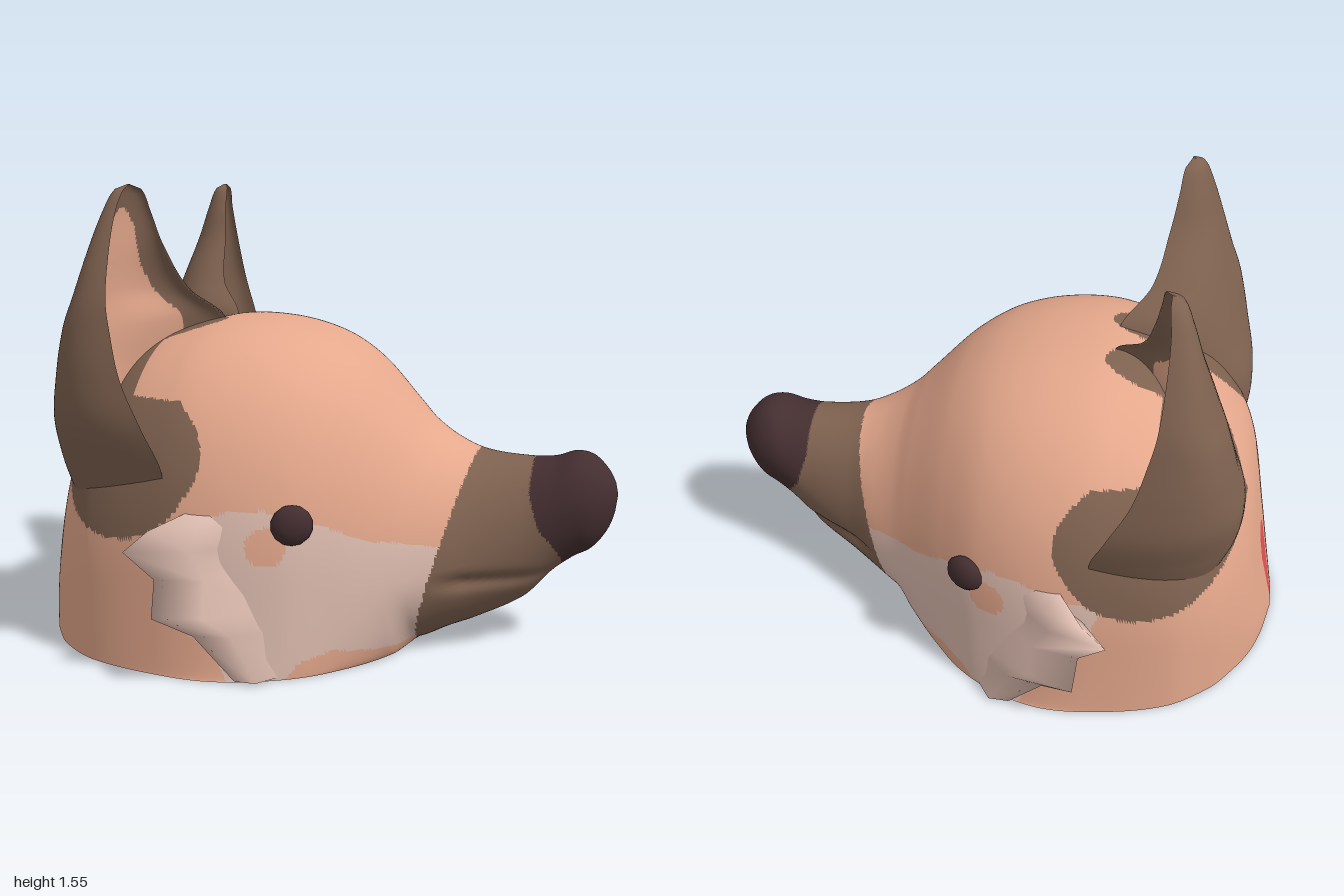
import * as THREE from 'three';

const mat = (name, color, side = THREE.FrontSide) => {
  const m = new THREE.MeshStandardMaterial({ color, side });
  m.name = name;
  return m;
};

// Smooth interpolation of a station table whose first column is the key
function sample(rows, k) {
  let i = 0;
  while (i < rows.length - 2 && k > rows[i + 1][0]) i++;
  const a = rows[i], b = rows[i + 1], h = b[0] - a[0];
  const p = rows[i - 1] || a, n = rows[i + 2] || b;
  const t = Math.min(1, Math.max(0, (k - a[0]) / h)), t2 = t * t, t3 = t2 * t;
  return a.map((_, c) => {
    const ma = (b[c] - p[c]) / (b[0] - p[0]) * h, mb = (n[c] - a[c]) / (n[0] - a[0]) * h;
    return (2 * t3 - 3 * t2 + 1) * a[c] + (t3 - 2 * t2 + t) * ma + (3 * t2 - 2 * t3) * b[c] + (t3 - t2) * mb;
  });
}

function inside(poly, x, y) {
  let hit = false;
  poly.forEach(([ax, ay], i) => {
    const [bx, by] = poly[(i + 1) % poly.length];
    if ((ay > y) !== (by > y) && x < ax + (y - ay) / (by - ay) * (bx - ax)) hit = !hit;
  });
  return hit;
}

// Surface grid; each triangle gets a material index from pick(centre, u, v)
function grid(point, nu, nv, flip, materials, pick = () => 0) {
  const pos = [], sets = materials.map(() => []);
  for (let i = 0; i <= nu; i++)
    for (let j = 0; j <= nv; j++) pos.push(...point(i / nu, j / nv));
  const add = (a, b, c, u, v) => {
    const mid = [0, 1, 2].map(k => (pos[a * 3 + k] + pos[b * 3 + k] + pos[c * 3 + k]) / 3);
    sets[pick(mid, u, v)].push(...(flip ? [a, c, b] : [a, b, c]));
  };
  for (let i = 0; i < nu; i++)
    for (let j = 0; j < nv; j++) {
      const a = i * (nv + 1) + j, b = a + nv + 1;
      add(a, b, a + 1, (i + 0.33) / nu, (j + 0.33) / nv);
      add(b, b + 1, a + 1, (i + 0.67) / nu, (j + 0.67) / nv);
    }
  const geo = new THREE.BufferGeometry();
  geo.setAttribute('position', new THREE.Float32BufferAttribute(pos, 3));
  geo.setIndex(sets.flat());
  let start = 0;
  sets.forEach((s, m) => { geo.addGroup(start, s.length, m); start += s.length; });
  geo.computeVertexNormals();
  return new THREE.Mesh(geo, materials);
}

// Head stations: x, top, bottom, half width, height of widest point, base half width, roundness
const HEAD = [
  [-1.0, 0.01, 0, 0.06, 0.0, 0.06, 2], [-0.97, 0.16, 0, 0.2, 0.01, 0.2, 2],
  [-0.93, 0.37, 0, 0.31, 0.03, 0.31, 2.1], [-0.87, 0.67, 0, 0.41, 0.08, 0.41, 2.2],
  [-0.8, 0.82, 0, 0.5, 0.15, 0.5, 2.3], [-0.65, 0.99, 0, 0.61, 0.25, 0.61, 2.4],
  [-0.4, 1.09, 0, 0.675, 0.3, 0.68, 2.4], [-0.2, 1.1, 0, 0.675, 0.3, 0.69, 2.4],
  [0, 1.055, 0, 0.62, 0.3, 0.62, 2.4], [0.15, 0.97, 0, 0.53, 0.3, 0.5, 2.3],
  [0.3, 0.82, 0, 0.42, 0.28, 0.27, 2.2], [0.36, 0.76, 0, 0.38, 0.28, 0, 2.1],
  [0.45, 0.7, 0.04, 0.325, 0.3, 0, 2], [0.55, 0.66, 0.08, 0.26, 0.32, 0, 2],
  [0.7, 0.645, 0.16, 0.195, 0.39, 0, 2], [0.79, 0.65, 0.255, 0.168, 0.46, 0, 2],
  [0.86, 0.672, 0.31, 0.15, 0.5, 0, 2], [0.92, 0.66, 0.345, 0.125, 0.505, 0, 2],
  [0.97, 0.61, 0.41, 0.08, 0.515, 0, 2], [0.993, 0.565, 0.475, 0.036, 0.525, 0, 2],
  [1, 0.53, 0.53, 0, 0.53, 0, 2],
];
const CHEEK = [[-0.42, 0.48], [-0.25, 0.52], [-0.15, 0.545], [-0.05, 0.55], [0.05, 0.53], [0.25, 0.43],
  [0.5, 0.38], [0.4, 0.03], [0.25, 0.06], [0.15, 0.08], [0.06, 0.05], [0.02, 0], [-0.15, 0],
  [-0.2, 0.1], [-0.3, 0.16], [-0.33, 0.23]];
const BACK_MARK = [[0, 0.03], [-0.03, 0.03], [-0.12, 0.29], [-0.115, 0.37], [-0.08, 0.42], [-0.02, 0.39]];

// Ear stations: y, outer edge z and x, inner edge z and x, back x
const EAR = [
  [0.5, 0.58, -0.42, 0.2, -0.5, -0.78], [0.65, 0.645, -0.37, 0.14, -0.46, -0.83],
  [0.8, 0.685, -0.42, 0.08, -0.42, -0.835], [0.95, 0.68, -0.49, 0.05, -0.38, -0.79],
  [1.1, 0.66, -0.53, 0.07, -0.37, -0.74], [1.2, 0.64, -0.55, 0.17, -0.46, -0.71],
  [1.35, 0.585, -0.56, 0.29, -0.5, -0.66], [1.47, 0.53, -0.56, 0.35, -0.52, -0.62],
  [1.54, 0.485, -0.55, 0.395, -0.53, -0.59], [1.555, 0.44, -0.55, 0.44, -0.55, -0.56],
];

// Cheek tuft rows: y, then front, middle and tip as x, z
const TUFT = [
  [0.54, -0.12, 0.6, -0.2, 0.65, -0.28, 0.66], [0.5, -0.1, 0.6, -0.23, 0.72, -0.37, 0.765],
  [0.43, -0.1, 0.6, -0.25, 0.73, -0.45, 0.78], [0.34, -0.08, 0.6, -0.2, 0.73, -0.36, 0.75],
  [0.23, 0, 0.58, -0.2, 0.76, -0.35, 0.8], [0.16, 0.03, 0.57, -0.12, 0.71, -0.24, 0.73],
  [0.01, 0.03, 0.58, -0.05, 0.69, -0.12, 0.69],
];

export function createModel() {
  const model = new THREE.Group();
  const fur = mat('orangeFur', 0xe5a88c), brown = mat('brownFur', 0x7f6250);
  const pale = mat('paleCheek', 0xe0beb1, THREE.DoubleSide);
  const dark = mat('darkNose', 0x442e30), red = mat('redBase', 0xe05050);
  const add = (name, mesh) => { mesh.name = name; model.add(mesh); };

  // Head, muzzle and nose: sections along x, each running over the top from one side of the base to the other
  const headPoint = (u, v) => {
    const s = u < 0.2 ? -1 + u : -0.8 + (u - 0.2) / 0.8 * 1.8;
    const [x, top, bot, w, yw, wb, n] = sample(HEAD, s);
    const side = v < 0.5 ? 1 : -1, q = Math.abs(v - 0.5) * 2;
    const base = x > 0.36 ? 0 : Math.max(0, wb), low = Math.max(0, bot);
    let y, z;
    if (q < 0.75) {
      const a = q / 0.75 * Math.PI / 2;
      z = w * Math.sin(a) ** (2 / n);
      y = yw + (top - yw) * Math.max(0, Math.cos(a)) ** (2 / n);
    } else {
      const a = (q - 0.75) / 0.25 * Math.PI / 2;
      z = base + (w - base) * Math.max(0, Math.cos(a));
      y = yw - (yw - low) * Math.sin(a);
    }
    // mouth crease
    if (x > 0.42) z *= 1 - 0.1 * Math.min(1, (x - 0.42) / 0.1) * Math.exp(-(((y - 0.26) / 0.025) ** 2));
    return [x, y, z * side];
  };
  const headColour = ([x, y, z]) => {
    const az = Math.abs(z);
    // nose, narrowing to a point below
    const noseEdge = 0.72 + 0.32 * Math.max(0, 0.55 - y) + 0.6 * Math.max(0, az - 1.2 * (y - 0.285));
    if (x > noseEdge && y > 0.285) return 4;
    if (x > 0.345 + 0.28 * y) return 1;
    if (x < -0.85 && inside(BACK_MARK, z, y)) return 3;
    // brown fur around the ear: side patch, front lobe, area behind, inner lobe
    const patch = y < 0.87 && (Math.hypot((x + 0.56) / 0.29, (y - 0.69) / 0.26) < 1
      || Math.hypot(x + 0.42, y - 0.7) < 0.17);
    const behind = y > 0.69 && x < -0.54 && Math.hypot((x + 0.57) / 0.285, (az - 0.34) / 0.32) < 1;
    const innerLobe = Math.hypot((x + 0.52) / 0.18, (az - 0.12) / 0.09) < 1 && y > 0.9;
    if ((patch && az > 0.2) || behind || innerLobe) return 1;
    if (inside(CHEEK, x, y) && Math.hypot(x + 0.035, y - 0.435) > 0.062) return 2;
    return 0;
  };
  add('headAndNose', grid(headPoint, 270, 200, false, [fur, brown, pale, red, dark], headColour));

  // Flat underside of the neck
  const rim = [];
  for (let i = 0; i <= 40; i++) {
    const x = -1 + 1.36 * (1 - Math.cos(i / 40 * Math.PI)) / 2;
    rim.push([x, Math.max(0, sample(HEAD, x)[5])]);
  }
  const outline = [...rim, ...rim.slice(1, -1).reverse().map(([x, z]) => [x, -z])];
  const cap = new THREE.ShapeGeometry(new THREE.Shape(outline.map(([x, z]) => new THREE.Vector2(x, z))));
  add('neckBase', new THREE.Mesh(cap.rotateX(Math.PI / 2), red));

  for (const s of [1, -1]) {
    const label = s > 0 ? 'Left' : 'Right';

    // Ear: rounded back, hollow front
    const earPoint = (u, v) => {
      const [y, zo, xo, zi, xi, back] = sample(EAR, 0.5 + 1.055 * v);
      const a = u * 2 * Math.PI, cx = (xo + xi) / 2;
      const c = Math.sign(Math.cos(a)) * Math.abs(Math.cos(a)) ** 0.85;
      const depth = (cx - back) * Math.abs(Math.sin(a)) ** 0.8 * (u < 0.5 ? 1 : 0.5);
      return [cx + (xo - xi) / 2 * c - depth, y, s * ((zo + zi) / 2 + (zo - zi) / 2 * c)];
    };
    const earColour = ([, y, z], u) => {
      const [, zo, , zi] = sample(EAR, y), half = (zo - zi) / 2;
      const taper = Math.sqrt(Math.min(1, Math.max(0, (1.48 - y) / 0.06)));
      const reach = (half - Math.min(0.075, half * 0.42)) * taper;
      return u > 0.5 && Math.abs(Math.abs(z) - (zo + zi) / 2) < reach ? 1 : 0;
    };
    add('ear' + label, grid(earPoint, 96, 70, s > 0, [brown, fur], earColour));

    // Ragged cheek tuft
    const tuftPoint = (u, v) => {
      const [y, fx, fz, mx, mz, tx, tz] = TUFT[Math.round(v * 6)];
      const [x, z] = [[fx, fz], [mx, mz], [tx, tz], [tx + 0.15, 0.6]][Math.round(u * 3)];
      return [x, y, s * z];
    };
    add('cheekTuft' + label, grid(tuftPoint, 3, 6, s < 0, [pale]));

    // Eye
    const eye = new THREE.Mesh(new THREE.SphereGeometry(1, 10, 7), dark);
    eye.scale.set(0.068, 0.066, 0.036);
    eye.position.set(0.043, 0.505, s * 0.595);
    eye.rotation.y = s * 0.4;
    add('eye' + label, eye);
  }
  return model;
}
